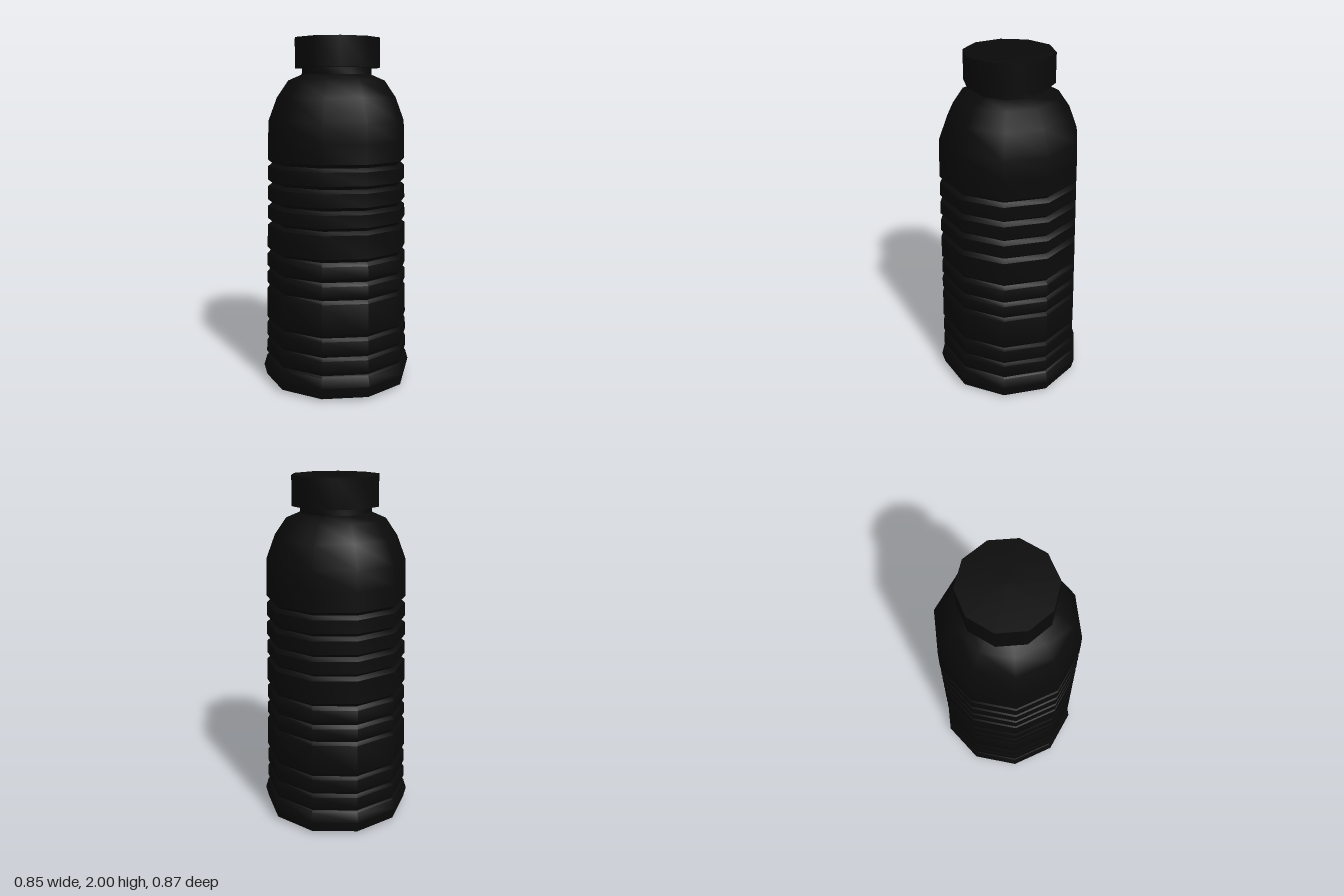
import * as THREE from 'three';
import { toCreasedNormals } from 'three/addons/utils/BufferGeometryUtils.js';

const SIDES = 10;

// Ten-sided turned part: smooth around, crisp at profile corners
function turned(name, profile, turnDegrees, material) {
  const points = profile.map(([r, y]) => new THREE.Vector2(r, y));
  const lathe = new THREE.LatheGeometry(points, SIDES, THREE.MathUtils.degToRad(turnDegrees));
  const mesh = new THREE.Mesh(toCreasedNormals(lathe, 0.7), material);
  mesh.name = name;
  return mesh;
}

export function createModel() {
  const group = new THREE.Group();
  group.name = 'bottle';
  const black = new THREE.MeshStandardMaterial({ color: 0x0a0a0a });

  // Slightly domed underside and flared foot
  const profile = [[0, 0], [0.421, 0.016], [0.437, 0.08], [0.42, 0.137]];

  // Tapering wall cut by V grooves: [height, depth]
  const grooves = [
    [0.145, 0.012], [0.25, 0.012], [0.36, 0.012], [0.57, 0.013], [0.67, 0.016],
    [0.78, 0.018], [0.95, 0.025], [1.06, 0.025], [1.175, 0.025], [1.29, 0.022],
  ];
  const wall = (y) => 0.423 - 0.02 * y;
  grooves.forEach(([y, depth], i) => {
    if (i > 0) profile.push([wall(y), y - 0.02]);
    profile.push([wall(y) - depth, y]);
    profile.push([wall(y), y + 0.02]);
  });

  // Rounded shoulder and neck
  profile.push([0.395, 1.42], [0.391, 1.53], [0.342, 1.66], [0.277, 1.755], [0.2, 1.788], [0.196, 1.85]);
  group.add(turned('bottleBody', profile, -4.8, black));

  // Screw cap, closed above and below
  const cap = [[0, 1.825], [0.248, 1.825], [0.248, 1.99], [0, 2]];
  group.add(turned('cap', cap, 11, black));

  return group;
}
